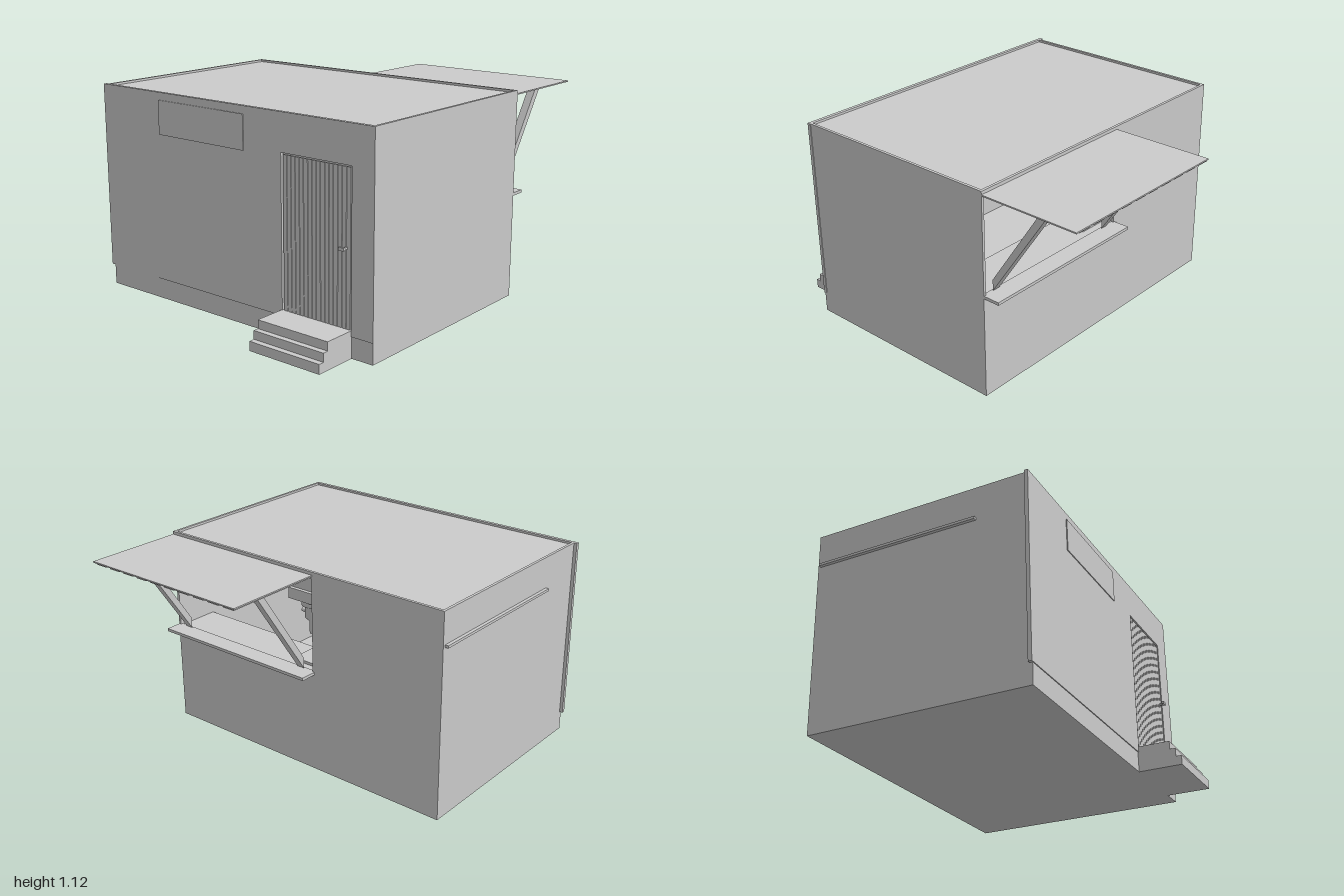
import * as THREE from 'three';

const grey = new THREE.MeshStandardMaterial({ color: 0xcccccc, flatShading: true });
const smooth = new THREE.MeshStandardMaterial({ color: 0xcccccc });

export function createModel() {
  const root = new THREE.Group();
  root.name = 'kiosk';

  const add = (name, geometry, parent = root, material = grey) => {
    const mesh = new THREE.Mesh(geometry, material);
    mesh.name = name;
    parent.add(mesh);
    return mesh;
  };
  // Box given by its limits on each axis
  const box = (name, [x0, x1], [y0, y1], [z0, z1], parent = root) => {
    const mesh = add(name, new THREE.BoxGeometry(x1 - x0, y1 - y0, z1 - z0), parent);
    mesh.position.set((x0 + x1) / 2, (y0 + y1) / 2, (z0 + z1) / 2);
    return mesh;
  };
  // Polygon in x-y, extruded from z0 to z1
  const prism = (name, points, z0, z1, parent = root) => {
    const shape = new THREE.Shape(points.map(([x, y]) => new THREE.Vector2(x, y)));
    const geometry = new THREE.ExtrudeGeometry(shape, { depth: z1 - z0, bevelEnabled: false });
    geometry.translate(0, 0, z0);
    return add(name, geometry, parent);
  };
  // Side wall in the y-z plane with one rectangular opening, spanning x0 to x1
  const sideWall = (name, [x0, x1], [y0, y1], [z0, z1], [hy0, hy1], [hz0, hz1]) => {
    const rect = (a, b, c, d, Type) => new Type([[a, c], [b, c], [b, d], [a, d]].map(p => new THREE.Vector2(...p)));
    const shape = rect(-z1, -z0, y0, y1, THREE.Shape);
    shape.holes.push(rect(-hz1, -hz0, hy0, hy1, THREE.Path));
    const geometry = new THREE.ExtrudeGeometry(shape, { depth: x1 - x0, bevelEnabled: false });
    geometry.rotateY(Math.PI / 2).translate(x0, 0, 0);
    return add(name, geometry);
  };

  // Shell: base, walls and a roof sunk slightly below the wall tops
  box('base', [-0.765, 0.45], [0, 0.11], [-0.89, 0.905]);
  box('frontWall', [-0.75, 0.435], [0.11, 1.12], [0.89, 0.905]);
  box('backWall', [-0.75, 0.435], [0.11, 1.12], [-0.89, -0.875]);
  sideWall('servingWall', [0.435, 0.45], [0.11, 1.12], [-0.89, 0.905], [0.565, 1.085], [-0.09, 0.89]);
  sideWall('doorWall', [-0.77, -0.75], [0.11, 1.12], [-0.908, 0.908], [0.14, 0.925], [0.355, 0.78]);
  box('roof', [-0.75, 0.435], [1.09, 1.108], [-0.875, 0.89]);

  // Slatted door with a handle
  const door = new THREE.Group();
  door.name = 'door';
  root.add(door);
  const slats = 16, pitch = 0.41 / slats;
  for (let i = 0; i < slats; i++) {
    const z = 0.365 + i * pitch;
    box('doorSlat', [-0.767, -0.757], [0.14, 0.917], [z, z + pitch * 0.88], door);
  }
  for (const y of [0.2, 0.53, 0.86]) box('doorRail', [-0.757, -0.752], [y, y + 0.03], [0.36, 0.775], door);
  box('handleStem', [-0.79, -0.767], [0.53, 0.54], [0.745, 0.755], door);
  box('handleGrip', [-0.8, -0.788], [0.527, 0.543], [0.725, 0.757], door);

  // Steps up to the door
  prism('steps', [[-1, 0], [-0.765, 0], [-0.765, 0.14], [-0.94, 0.14], [-0.94, 0.095],
    [-0.97, 0.095], [-0.97, 0.05], [-1, 0.05]], 0.35, 0.78);

  // Thin panel on the door side and rail on the back
  box('sidePanel', [-0.775, -0.77], [0.9, 1.08], [-0.48, 0.115]);
  box('backRail', [-0.48, 0.435], [0.934, 0.948], [-0.908, -0.89]);

  // Awning board with battens, held by two slanted struts
  const awning = new THREE.Group();
  awning.name = 'awning';
  root.add(awning);
  box('awningBoard', [0.45, 1], [1.096, 1.103], [-0.095, 0.905], awning);
  for (let i = 0; i < 10; i++) {
    const z = -0.09 + i * 0.1;
    box('awningBatten', [0.45, 0.995], [1.089, 1.096], [z, z + 0.07], awning);
  }
  for (const z of [-0.03, 0.8]) {
    prism('strut', [[0.45, 0.575], [0.795, 1.09], [0.75, 1.09], [0.45, 0.635]], z, z + 0.043, awning);
  }

  // Serving counter and ceiling lamp
  box('counter', [0.435, 0.54], [0.556, 0.572], [-0.1, 0.903]);
  box('innerCounter', [0.2, 0.435], [0.55, 0.565], [-0.12, 0.89]);
  box('ceilingLamp', [-0.3, 0.1], [1.078, 1.09], [0.37, 0.46]);

  // Drink dispenser on the counter
  const dispenser = new THREE.Group();
  dispenser.name = 'dispenser';
  dispenser.position.set(0.31, 0, 0.01);
  root.add(dispenser);
  box('dispenserFoot', [-0.08, 0.08], [0.565, 0.58], [-0.08, 0.08], dispenser);
  box('dispenserColumn', [-0.07, -0.03], [0.58, 0.92], [-0.025, 0.025], dispenser);
  box('dispenserHead', [-0.09, 0.08], [0.91, 0.97], [-0.11, 0.11], dispenser);
  box('dispenserTank', [-0.08, 0.06], [0.97, 1.085], [-0.1, 0.11], dispenser);
  const nozzle = [[0, 0.72], [0.012, 0.72], [0.014, 0.79], [0.035, 0.81], [0.035, 0.87], [0.052, 0.88], [0.052, 0.91]];
  add('dispenserNozzle', new THREE.LatheGeometry(nozzle.map(p => new THREE.Vector2(...p)), 24), dispenser, smooth)
    .position.set(0.02, 0, 0.005);
  const knob = add('dispenserKnob', new THREE.CylinderGeometry(0.012, 0.012, 0.03, 16), dispenser, smooth);
  knob.rotation.x = Math.PI / 2;
  knob.position.set(0.02, 0.84, 0.05);

  return root;
}
